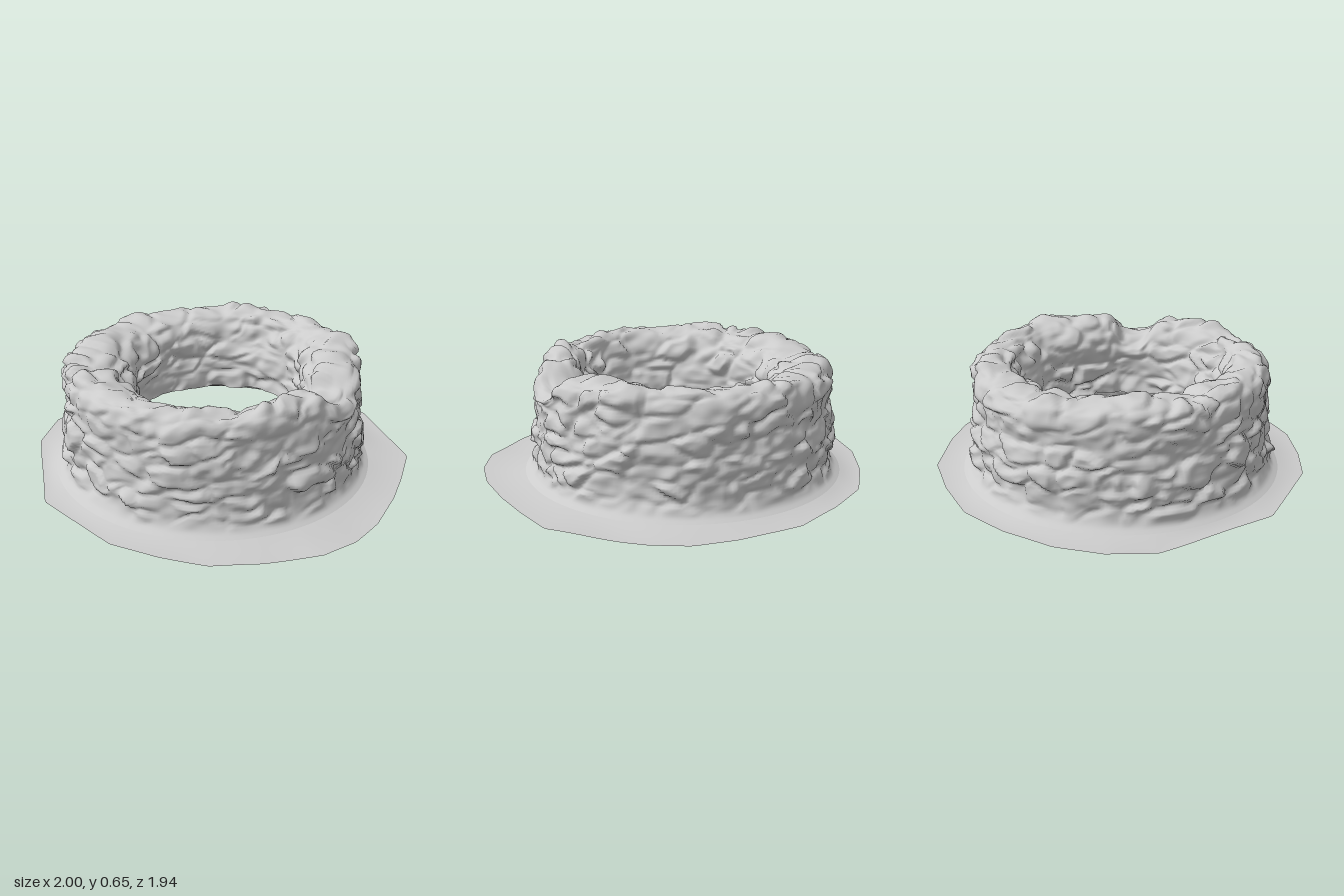
import * as THREE from 'three';

const SEGMENTS = 260;
const WALL_ROWS = 96;

// Repeatable hash of a lattice cell, 0..1
function hash(x, y, z, k = 0) {
  let h = Math.imul(x, 374761393) + Math.imul(y, 668265263) + Math.imul(z, 1274126177) + Math.imul(k, 974634541);
  h = Math.imul(h ^ (h >>> 13), 1274126177);
  h = Math.imul(h ^ (h >>> 15), 2246822519);
  return ((h ^ (h >>> 16)) >>> 0) / 4294967296;
}

const smooth = (t) => t * t * (3 - 2 * t);
const ramp = (a, b, x) => smooth(Math.min(1, Math.max(0, (x - a) / (b - a))));

// Hump of height 1 around an angle, wrapping at a full turn
function hump(angle, centre, width, power = 2) {
  const d = Math.atan2(Math.sin(angle - centre), Math.cos(angle - centre));
  return Math.exp(-(Math.abs(d / width) ** power));
}

// Smooth value noise, -1..1
function noise(x, y, z) {
  const ix = Math.floor(x), iy = Math.floor(y), iz = Math.floor(z);
  const fx = smooth(x - ix), fy = smooth(y - iy), fz = smooth(z - iz);
  let sum = 0;
  for (let i = 0; i < 8; i++) {
    const a = i & 1, b = (i >> 1) & 1, c = i >> 2;
    sum += hash(ix + a, iy + b, iz + c) * (a ? fx : 1 - fx) * (b ? fy : 1 - fy) * (c ? fz : 1 - fz);
  }
  return sum * 2 - 1;
}

// Height of weathered, flat-lying stones: warped cells with sunken joints
function stones(px, py, pz) {
  const wx = 0.3 * noise(px * 9, py * 12 + 40, pz * 9), wy = 0.35 * noise(px * 8 + 30, py * 10, pz * 8);
  const x = px / 0.2 + wx, y = py / 0.1 + wy, z = pz / 0.2 - wx;
  const ix = Math.floor(x), iy = Math.floor(y), iz = Math.floor(z);
  let f1 = 9, f2 = 9, lift = 0;
  for (let a = -1; a <= 1; a++) for (let b = -1; b <= 1; b++) for (let c = -1; c <= 1; c++) {
    const cx = ix + a, cy = iy + b, cz = iz + c;
    const d = Math.hypot(
      cx + hash(cx, cy, cz, 1) - x,
      cy + 0.2 + 0.6 * hash(cx, cy, cz, 2) - y,
      cz + hash(cx, cy, cz, 3) - z);
    if (d < f1) { f2 = f1; f1 = d; lift = hash(cx, cy, cz, 4); }
    else if (d < f2) f2 = d;
  }
  return smooth(Math.min(1, (f2 - f1) / 0.35)) * (0.2 + lift) * 0.035 - 0.015;
}

// Closed ring surface: place(angle, v) gives the point, v = 0..1 across the ring
function ringSurface(rows, place) {
  const positions = [], indices = [];
  for (let j = 0; j <= rows; j++) {
    for (let i = 0; i < SEGMENTS; i++) {
      positions.push(...place((i / SEGMENTS) * Math.PI * 2, j / rows));
    }
  }
  for (let j = 0; j < rows; j++) {
    for (let i = 0; i < SEGMENTS; i++) {
      const n = (i + 1) % SEGMENTS;
      const a = j * SEGMENTS + i, b = j * SEGMENTS + n;
      const c = a + SEGMENTS, d = b + SEGMENTS;
      indices.push(a, c, b, b, c, d);
    }
  }
  const geometry = new THREE.BufferGeometry();
  geometry.setAttribute('position', new THREE.Float32BufferAttribute(positions, 3));
  geometry.setIndex(indices);
  geometry.computeVertexNormals();
  return geometry;
}

// Wall section (radius, height): flared foot, up, over the rim, down the inside
const SECTION = new THREE.CatmullRomCurve3([
  [0.835, 0.028], [0.8, 0.05], [0.78, 0.1], [0.775, 0.25], [0.765, 0.42], [0.76, 0.54], [0.73, 0.6],
  [0.66, 0.62], [0.58, 0.6], [0.535, 0.54], [0.49, 0.42], [0.465, 0.31], [0.46, 0.21],
].map(([r, y]) => new THREE.Vector3(r, y, 0)), false, 'centripetal');

// Wall samples with their outward directions
const SAMPLES = Array.from({ length: WALL_ROWS + 1 }, (_, j) => {
  const p = SECTION.getPointAt(j / WALL_ROWS), t = SECTION.getTangentAt(j / WALL_ROWS);
  return { r: p.x, y: p.y, nr: t.y, ny: -t.x };
});

function wallPoint(angle, v) {
  const s = SAMPLES[Math.round(v * WALL_ROWS)];
  const c = Math.cos(angle), w = Math.sin(angle);
  const x = s.r * c, z = s.r * w;
  // Rough stone relief, fading out at the foot
  const bump = ramp(0.02, 0.11, v) * (stones(x, s.y, z)
    + 0.02 * noise(x * 6 + 20, s.y * 8, z * 6)
    + 0.011 * noise(x * 17, s.y * 26, z * 17));
  // Uneven rim: higher at the back left, with a notch on the left side
  const top = ramp(0.4, 0.6, s.y);
  const rise = 0.025 * hump(angle, 5.5, 0.45) + 0.01 * noise(c * 4, 9, w * 4);
  const notch = 0.09 * hump(angle, 0.08, 0.18, 4);
  // Inner edge of the rim: wide at the front, tight at the sides, one big stone at the back left
  const inner = ramp(0.74, 0.52, s.r);
  const crest = inner * ramp(0.25, 0.52, s.y)
    * (0.025 * w - 0.055 * c * c - 0.035 * hump(angle, -0.45, 0.3, 4));
  const r = s.r + s.nr * bump + crest;
  const y = s.y + s.ny * bump * 0.8 + top * (rise - notch);
  // The opening sits slightly off centre
  return [r * c - 0.015 + 0.035 * inner, y, r * w - 0.02 * inner];
}

// Irregular ground outline (x, z)
const OUTLINE = [
  [1, 0], [0.995, 0.25], [0.95, 0.45], [0.85, 0.62], [0.62, 0.8], [0.4, 0.92], [0.15, 0.96],
  [-0.1, 0.965], [-0.35, 0.87], [-0.58, 0.78], [-0.72, 0.58], [-0.85, 0.4], [-0.96, 0.24],
  [-1, 0], [-0.95, -0.25], [-0.82, -0.5], [-0.65, -0.72], [-0.4, -0.87], [-0.14, -0.975],
  [0.2, -0.97], [0.42, -0.93], [0.58, -0.83], [0.68, -0.73], [0.8, -0.6], [0.94, -0.45], [0.98, -0.2],
];

// Where a ray from the centre meets the outline
function outlinePoint(angle) {
  const c = Math.cos(angle), s = Math.sin(angle);
  for (let i = 0; i < OUTLINE.length; i++) {
    const [ax, az] = OUTLINE[i], [bx, bz] = OUTLINE[(i + 1) % OUTLINE.length];
    const da = c * az - s * ax, db = c * bz - s * bx;
    if (da <= 1e-9 && db > 1e-9 && c * (ax + bx) + s * (az + bz) > 0) {
      const t = da / (da - db);
      return [ax + (bx - ax) * t, az + (bz - az) * t];
    }
  }
  return [c, s];
}

function apronPoint(angle, v) {
  const [ox, oz] = outlinePoint(angle);
  const [ix, iy, iz] = wallPoint(angle, 0);
  const edge = 0.009 + 0.008 * noise(ox * 3, 5, oz * 3);
  return [ox + (ix - ox) * v, edge + (iy - edge) * v ** 2, oz + (iz - oz) * v];
}

export function createModel() {
  const group = new THREE.Group();
  group.name = 'stoneWell';
  const material = new THREE.MeshStandardMaterial({ color: 0xcccccc, side: THREE.DoubleSide });

  // Rough stone ring, hollow and open underneath
  const wall = new THREE.Mesh(ringSurface(WALL_ROWS, wallPoint), material);
  wall.name = 'stoneWall';

  // Thin skirt of ground around the foot
  const apron = new THREE.Mesh(ringSurface(6, apronPoint), material);
  apron.name = 'groundApron';

  group.add(wall, apron);
  return group;
}
